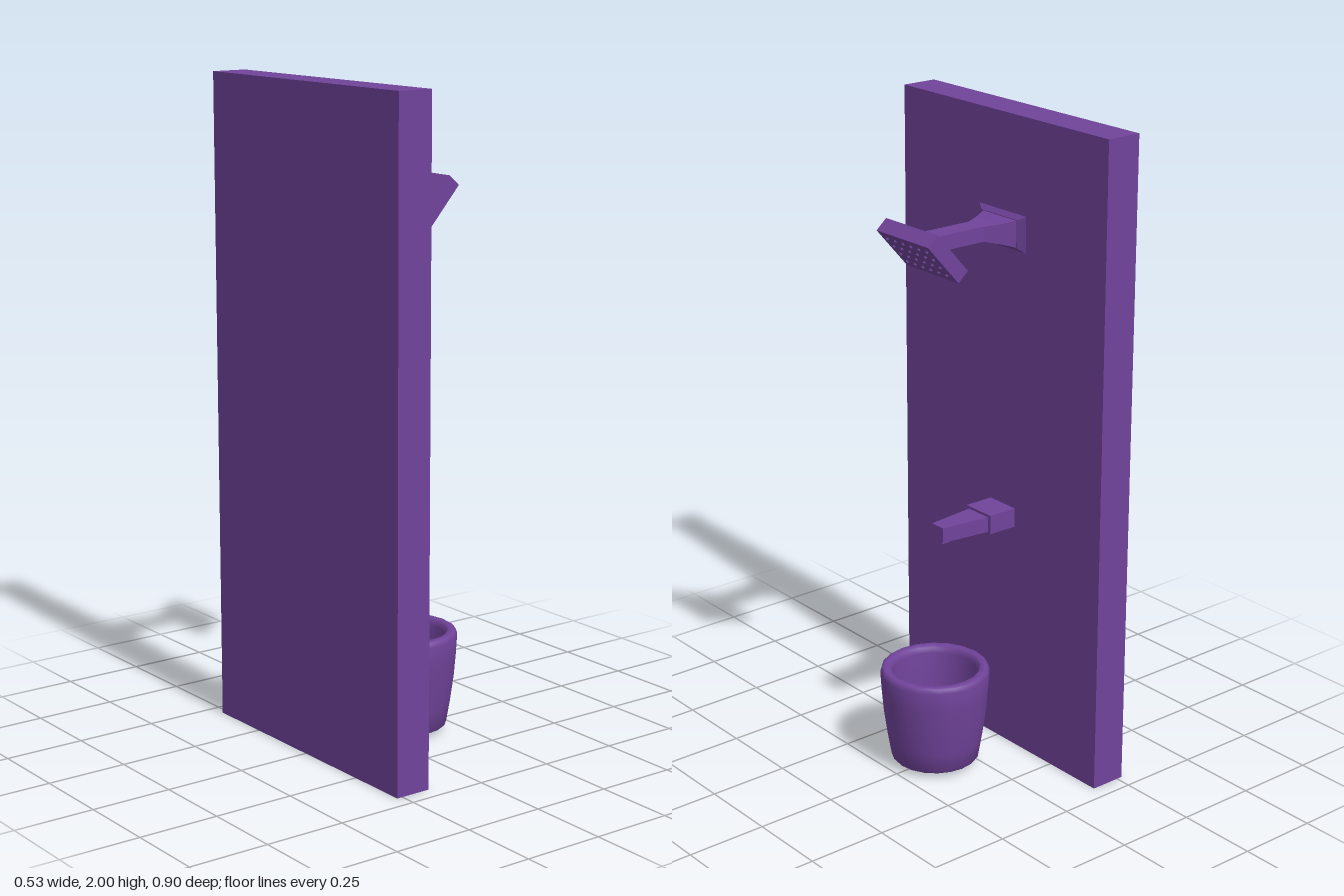
import * as THREE from 'three';
import { toCreasedNormals } from 'three/addons/utils/BufferGeometryUtils.js';

const material = new THREE.MeshStandardMaterial({ color: 0x70439a });

function add(parent, name, geometry, x = 0, y = 0, z = 0) {
  const mesh = new THREE.Mesh(geometry, material);
  mesh.name = name;
  mesh.position.set(x, y, z);
  parent.add(mesh);
  return mesh;
}

// Solid box given by its limits on each axis
function block(parent, name, x0, x1, y0, y1, z0, z1) {
  return add(parent, name, new THREE.BoxGeometry(x1 - x0, y1 - y0, z1 - z0),
    (x0 + x1) / 2, (y0 + y1) / 2, (z0 + z1) / 2);
}

// Rectangular sections [x, y0, y1, z0, z1] joined along x, with flat faces
function loft(sections) {
  const pos = [];
  const corners = ([x, y0, y1, z0, z1]) => [[x, y0, z0], [x, y1, z0], [x, y1, z1], [x, y0, z1]];
  const quad = (a, b, c, d) => pos.push(...a, ...b, ...c, ...a, ...c, ...d);
  const rings = sections.map(corners);
  for (let i = 0; i + 1 < rings.length; i++) {
    const p = rings[i], q = rings[i + 1];
    for (let k = 0; k < 4; k++) {
      const n = (k + 1) % 4;
      quad(p[k], p[n], q[n], q[k]);
    }
  }
  const s = rings[0], e = rings[rings.length - 1];
  quad(s[3], s[2], s[1], s[0]);
  quad(e[0], e[1], e[2], e[3]);
  const g = new THREE.BufferGeometry();
  g.setAttribute('position', new THREE.Float32BufferAttribute(pos, 3));
  g.computeVertexNormals();
  return g;
}

export function createModel() {
  const model = new THREE.Group();
  model.name = 'showerWall';

  block(model, 'wallPanel', -0.268, -0.155, 0, 2, -0.45, 0.45);

  // Shower arm: chamfered wall plate, flared neck, straight bar
  const shower = new THREE.Group();
  shower.name = 'shower';
  model.add(shower);
  add(shower, 'wallPlate', loft([
    [-0.156, 1.6, 1.712, -0.113, 0.1],
    [-0.143, 1.613, 1.697, -0.085, 0.075],
  ]));
  add(shower, 'showerArm', loft([
    [-0.143, 1.615, 1.695, -0.082, 0.066],
    [-0.1, 1.628, 1.686, -0.057, 0.049],
    [-0.06, 1.637, 1.682, -0.034, 0.035],
    [0.113, 1.637, 1.682, -0.034, 0.035],
  ]));
  block(shower, 'armJoint', 0.1, 0.126, 1.64, 1.668, -0.023, 0.024);

  // Tilted head with a grid of nozzles on its lower face
  const head = new THREE.Group();
  head.name = 'showerHead';
  head.position.set(0.132, 1.637, 0.008);
  head.rotation.z = -0.723;
  shower.add(head);
  add(head, 'headPlate', new THREE.BoxGeometry(0.046, 0.165, 0.235));
  const nozzle = new THREE.CylinderGeometry(0.004, 0.006, 0.006, 8).rotateZ(-Math.PI / 2);
  for (let r = 0; r < 4; r++) {
    for (let c = 0; c < 6; c++) {
      add(head, 'nozzle', nozzle, 0.025, (r - 1.5) * 0.036, (c - 2.5) * 0.036);
    }
  }

  // Tap: square mount, tapering spout and outlet lip
  const tap = new THREE.Group();
  tap.name = 'tap';
  model.add(tap);
  block(tap, 'tapMount', -0.156, -0.06, 0.735, 0.795, -0.071, 0.041);
  add(tap, 'spout', loft([
    [-0.06, 0.74, 0.787, -0.06, 0.03],
    [0.098, 0.74, 0.787, -0.041, 0.011],
  ]));
  block(tap, 'spoutOutlet', 0.07, 0.097, 0.733, 0.742, -0.034, 0.004);

  // Bucket: closed outer profile, rounded rim and hollow inside
  const profile = [
    [0, 0.02], [0.13, 0.02], [0.135, 0.026], [0.146, 0.09], [0.157, 0.17], [0.163, 0.24],
    [0.167, 0.305], [0.163, 0.318], [0.157, 0.322], [0.142, 0.322], [0.134, 0.316],
    [0.131, 0.3], [0.127, 0.2], [0.116, 0.09], [0.108, 0.05], [0, 0.05],
  ].map(([r, y]) => new THREE.Vector2(r, y));
  add(model, 'bucket', toCreasedNormals(new THREE.LatheGeometry(profile, 20), 0.8), 0.098);

  return model;
}
